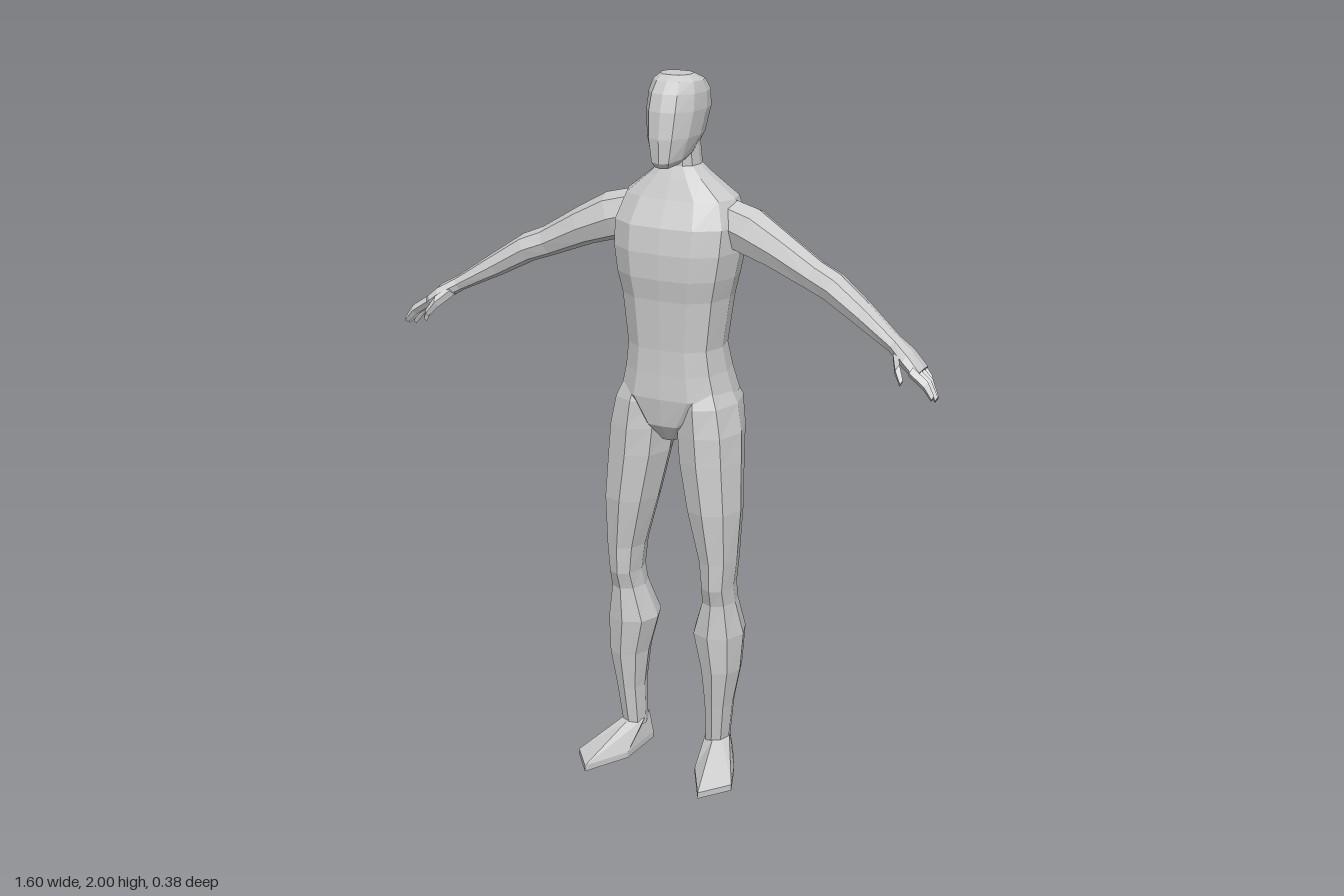
import * as THREE from 'three';

const V = (x, y, z) => new THREE.Vector3(x, y, z);
const X = V(1, 0, 0), Z = V(0, 0, 1);
const ARM_UP = V(0.42, 0.9, 0); // across the sloping arm

// Half outlines (across, forward) from front to back, mirrored into full rings
const fullRing = half => [...half, ...half.slice(1, -1).reverse().map(([a, b]) => [-a, b])];
const BODY = fullRing([[0, 1], [0.5, 0.96], [0.86, 0.62], [1, 0], [0.92, -0.55], [0.47, -1], [0, -0.93]]);
const HEAD = fullRing([[0, 1], [0.5, 0.9], [0.9, 0.45], [1, -0.15], [0.85, -0.65], [0.45, -0.97], [0, -1]]);
const LIMB = fullRing([[0, 1], [0.7, 0.74], [1, 0], [0.72, -0.74], [0, -1]]);
const FINGER = fullRing([[0, 1], [1, 0], [0, -1]]);

const section = (shape, c, u, v, hu, hv) =>
  shape.map(([a, b]) => c.clone().addScaledVector(u, a * hu).addScaledVector(v, b * hv));

// Flat-shaded skin over rings of points, capped at both ends
function loft(name, rings, side = 1) {
  if (side < 0) rings = rings.map(r => r.map(p => V(-p.x, p.y, p.z)).reverse());
  const n = rings[0].length, pos = [];
  const tri = (...pts) => pts.forEach(p => pos.push(p.x, p.y, p.z));
  const mid = r => r.reduce((s, p) => s.add(p), V(0, 0, 0)).divideScalar(n);
  const first = rings[0], last = rings[rings.length - 1];
  const m0 = mid(first), m1 = mid(last);
  for (let j = 0; j < n; j++) {
    const k = (j + 1) % n;
    for (let i = 0; i < rings.length - 1; i++) {
      const a = rings[i][j], b = rings[i][k], c = rings[i + 1][k], d = rings[i + 1][j];
      tri(a, b, c);
      tri(a, c, d);
    }
    tri(first[k], first[j], m0);
    tri(last[j], last[k], m1);
  }
  const g = new THREE.BufferGeometry();
  g.setAttribute('position', new THREE.Float32BufferAttribute(pos, 3));
  g.computeVertexNormals();
  const mesh = new THREE.Mesh(g, new THREE.MeshStandardMaterial({ color: 0xcccccc, flatShading: true }));
  mesh.name = name;
  return mesh;
}

// Level ring from inner/outer x and front/back z
const level = (shape, y, xi, xo, zf, zb) =>
  section(shape, V((xi + xo) / 2, y, (zf + zb) / 2), X, Z, (xo - xi) / 2, (zf - zb) / 2);
// Ring across the arm: centre, half depth, half thickness
const across = (shape, [x, y, z, d, h]) => section(shape, V(x, y, z), Z, ARM_UP, d, h);

function makeTorso() {
  // y, half width, front z, back z
  return loft('torso', [
    [0.99, 0.03, 0.02, -0.09], [1.04, 0.085, 0.055, -0.15], [1.12, 0.165, 0.066, -0.187],
    [1.19, 0.147, 0.062, -0.168], [1.26, 0.137, 0.06, -0.15], [1.4, 0.155, 0.066, -0.165],
    [1.46, 0.17, 0.075, -0.172], [1.53, 0.182, 0.075, -0.183], [1.6, 0.185, 0.064, -0.192],
    [1.67, 0.16, 0.025, -0.162], [1.725, 0.09, 0, -0.13], [1.755, 0.057, -0.015, -0.112],
    [1.83, 0.052, -0.01, -0.105],
  ].map(([y, w, f, b]) => level(BODY, y, -w, w, f, b)));
}

function makeHead() {
  // front y, back y, half width, front z, back z
  return loft('head', [
    [1.76, 1.79, 0.038, 0.058, -0.07], [1.775, 1.805, 0.05, 0.07, -0.103],
    [1.84, 1.84, 0.068, 0.071, -0.128], [1.91, 1.905, 0.077, 0.061, -0.153],
    [1.955, 1.95, 0.075, 0.045, -0.147], [1.985, 1.98, 0.066, 0.022, -0.122],
    [2, 2, 0.045, 0, -0.075],
  ].map(([yf, yb, w, f, b]) => {
    const ring = level(HEAD, 0, -w, w, f, b);
    ring.forEach(p => { p.y = THREE.MathUtils.lerp(yb, yf, (p.z - b) / (f - b)); });
    return ring;
  }));
}

function makeLeg(side) {
  const g = new THREE.Group();
  g.name = side > 0 ? 'leftLeg' : 'rightLeg';
  // y, inner x, outer x, front z, back z
  g.add(loft('leg', [
    [0.07, 0.1, 0.166, 0.003, -0.086], [0.2, 0.1, 0.182, 0.018, -0.086],
    [0.31, 0.088, 0.203, 0.032, -0.105], [0.42, 0.06, 0.21, 0.04, -0.125],
    [0.52, 0.095, 0.19, 0.035, -0.092], [0.57, 0.1, 0.189, 0.05, -0.085],
    [0.65, 0.09, 0.198, 0.052, -0.09], [0.8, 0.05, 0.206, 0.066, -0.115],
    [0.94, 0.02, 0.2, 0.066, -0.14], [1.02, 0.012, 0.195, 0.065, -0.16],
    [1.1, 0.012, 0.178, 0.06, -0.176], [1.17, 0.03, 0.142, 0.035, -0.145],
  ].map(r => level(LIMB, ...r)), side));

  // Foot: splayed sole rising to the ankle
  const sole = [[0.18, 0.19], [0.245, 0.105], [0.205, 0], [0.16, -0.09], [0.1, -0.09], [0.108, 0.06]];
  const ankle = [[0.138, 0.006], [0.162, -0.01], [0.168, -0.045], [0.15, -0.087], [0.112, -0.087], [0.1, -0.03]];
  const flat = (pts, y) => pts.map(([x, z]) => V(x, y, z));
  g.add(loft('foot', [flat(sole, 0), flat(sole, 0.018), flat(ankle, 0.088)], side));
  return g;
}

function makeArm(side) {
  const g = new THREE.Group();
  g.name = side > 0 ? 'leftArm' : 'rightArm';
  // Upper arm, forearm and palm
  g.add(loft('arm', [
    [0.12, 1.61, -0.075, 0.06, 0.065], [0.2, 1.587, -0.07, 0.066, 0.068],
    [0.29, 1.55, -0.056, 0.055, 0.055], [0.4, 1.495, -0.048, 0.047, 0.043],
    [0.46, 1.472, -0.039, 0.049, 0.041], [0.55, 1.418, -0.02, 0.042, 0.034],
    [0.655, 1.357, 0.012, 0.033, 0.022], [0.7, 1.33, 0.03, 0.045, 0.023],
    [0.742, 1.297, 0.042, 0.046, 0.017],
  ].map(r => across(LIMB, r)), side));

  // Fingers: base z, tip x, y, z
  [[0.008, 0.77, 1.24, 0.028], [0.032, 0.79, 1.237, 0.05],
   [0.055, 0.796, 1.243, 0.072], [0.077, 0.792, 1.25, 0.09]].forEach(([bz, x, y, z]) => {
    g.add(loft('finger', [
      [0.725, 1.31, bz, 0.013, 0.014],
      [(0.73 + x) / 2 + 0.008, (1.31 + y) / 2, (bz + z) / 2, 0.013, 0.014],
      [x, y, z, 0.009, 0.009],
    ].map(r => across(FINGER, r)), side));
  });
  g.add(loft('thumb', [
    [0.668, 1.342, 0.04, 0.017, 0.016], [0.692, 1.315, 0.088, 0.014, 0.015],
    [0.712, 1.285, 0.108, 0.009, 0.01],
  ].map(r => across(FINGER, r)), side));
  return g;
}

export function createModel() {
  const model = new THREE.Group();
  model.name = 'figure';
  model.add(makeTorso(), makeHead());
  for (const side of [1, -1]) model.add(makeLeg(side), makeArm(side));
  return model;
}
